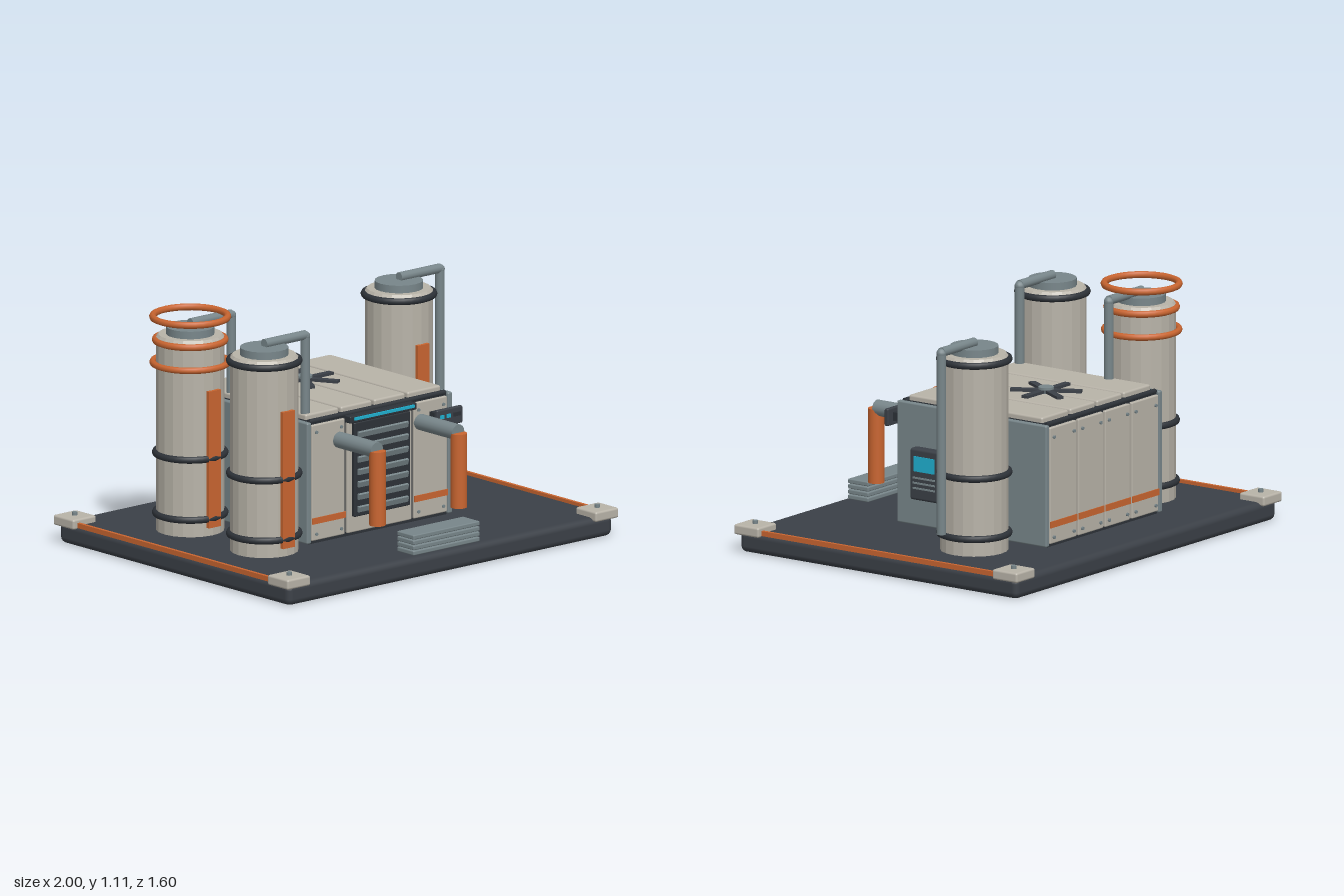
import * as THREE from 'three';
import { RoundedBoxGeometry } from 'three/addons/geometries/RoundedBoxGeometry.js';

const material = (name, color) => {
  const m = new THREE.MeshStandardMaterial({ color });
  m.name = name;
  return m;
};

export function createModel() {
  const model = new THREE.Group();
  model.name = 'processingUnit';
  const cream = material('cream panel', 0xb8b3a8);
  const grey = material('blue grey metal', 0x78868a);
  const slate = material('slate deck', 0x3b4047);
  const black = material('dark trim', 0x2d3238);
  const orange = material('orange', 0xc96530);
  const cyan = material('cyan light', 0x20b0d0);

  const add = (parent, name, geometry, mat, x, y, z) => {
    const mesh = new THREE.Mesh(geometry, mat);
    mesh.name = name;
    mesh.position.set(x, y, z);
    parent.add(mesh);
    return mesh;
  };
  // Box given by its minimum and maximum along each axis, with an optional round edge
  const box = (parent, name, mat, [x0, x1], [y0, y1], [z0, z1], r = 0) => {
    const s = [x1 - x0, y1 - y0, z1 - z0];
    const g = r ? new RoundedBoxGeometry(...s, 2, r) : new THREE.BoxGeometry(...s);
    return add(parent, name, g, mat, (x0 + x1) / 2, (y0 + y1) / 2, (z0 + z1) / 2);
  };
  // Straight round bar between two points
  const rod = (parent, name, mat, a, b, r, sides = 16) => {
    const p = new THREE.Vector3(...a), q = new THREE.Vector3(...b);
    const mid = p.clone().add(q).multiplyScalar(0.5);
    const m = add(parent, name, new THREE.CylinderGeometry(r, r, p.distanceTo(q), sides), mat, mid.x, mid.y, mid.z);
    m.quaternion.setFromUnitVectors(new THREE.Vector3(0, 1, 0), q.sub(p).normalize());
    return m;
  };
  const ring = (parent, name, mat, y, radius, tube) => {
    add(parent, name, new THREE.TorusGeometry(radius, tube, 8, 32), mat, 0, y, 0).rotation.x = Math.PI / 2;
  };

  // Base slab, side trims and corner feet
  box(model, 'baseSlab', slate, [-0.98, 0.98], [0, 0.1], [-0.785, 0.785], 0.03);
  for (const sx of [-1, 1]) {
    box(model, 'sideTrim', orange, [sx * 0.968 - 0.008, sx * 0.968 + 0.008], [0.09, 0.113], [-0.68, 0.68]);
    for (const sz of [-1, 1]) {
      const x = sx * 0.93, z = sz * 0.73;
      box(model, 'cornerBlock', cream, [x - 0.07, x + 0.07], [0.083, 0.13], [z - 0.07, z + 0.07], 0.01);
      rod(model, 'cornerBolt', grey, [x, 0.13, z], [x, 0.145, z], 0.013, 10);
    }
  }

  // Housing core with side plates
  const housing = new THREE.Group();
  housing.name = 'housing';
  model.add(housing);
  box(housing, 'core', black, [-0.415, 0.415], [0.1, 0.672], [-0.53, 0.285]);
  for (const s of [-1, 1])
    box(housing, 'sidePlate', grey, [s * 0.425 - 0.014, s * 0.425 + 0.014], [0.105, 0.67], [-0.545, 0.3], 0.008);

  // Roof and back panels in four columns, front panels in the outer columns
  const columns = [[-0.408, -0.208], [-0.194, -0.007], [0.007, 0.194], [0.208, 0.408]];
  columns.forEach(([x0, x1], i) => {
    box(housing, 'roofPanel', cream, [x0, x1], [0.66, 0.697], [-0.5, 0.255], 0.01);
    box(housing, 'backPanel', cream, [x0, x1], [0.115, 0.655], [-0.545, -0.52], 0.006);
    box(housing, 'backStripe', orange, [x0, x1], [0.19, 0.22], [-0.549, -0.544]);
    for (const y of [0.145, 0.61])
      for (const x of [x0 + 0.025, x1 - 0.025])
        rod(housing, 'backRivet', grey, [x, y, -0.543], [x, y, -0.553], 0.008, 8);
    if (i === 0 || i === 3) {
      box(housing, 'frontPanel', cream, [x0, x1], [0.115, 0.655], [0.275, 0.298], 0.006);
      box(housing, 'frontStripe', orange, [x0, x1], [0.193, 0.222], [0.296, 0.302]);
      for (const y of [0.145, 0.62])
        for (const x of [x0 + 0.025, x1 - 0.025])
          rod(housing, 'frontRivet', grey, [x, y, 0.295], [x, y, 0.304], 0.008, 8);
    } else {
      box(housing, 'frontPanel', cream, [x0, x1], [0.115, 0.64], [0.275, 0.298], 0.006);
    }
  });
  for (const z of [-0.52, 0.275])
    rod(housing, 'roofEdge', black, [-0.41, 0.667, z], [0.41, 0.667, z], 0.013, 8);

  // Louvred intake with a light bar above it
  box(housing, 'louvreFrame', black, [-0.168, 0.168], [0.19, 0.63], [0.295, 0.317], 0.006);
  for (let i = 0; i < 7; i++) {
    const y = 0.225 + i * 0.058;
    box(housing, 'louvreSlat', grey, [-0.15, 0.15], [y - 0.013, y + 0.013], [0.31, 0.326]).rotation.x = 0.3;
  }
  box(housing, 'lightBarHousing', black, [-0.2, 0.2], [0.632, 0.665], [0.28, 0.325], 0.005);
  box(housing, 'lightBar', cyan, [-0.18, 0.18], [0.646, 0.659], [0.315, 0.334]);

  // Control strip at the upper front corner
  box(housing, 'controlStrip', slate, [0.28, 0.436], [0.54, 0.62], [0.35, 0.372], 0.006);
  box(housing, 'controlBracket', black, [0.3, 0.4], [0.56, 0.6], [0.29, 0.352]);
  for (const x of [0.31, 0.35])
    box(housing, 'indicator', cyan, [x - 0.012, x + 0.012], [0.578, 0.596], [0.37, 0.376]);
  box(housing, 'indicatorOff', black, [0.38, 0.42], [0.578, 0.596], [0.37, 0.376]);

  // Roof fan with six blades
  const fan = new THREE.Group();
  fan.name = 'roofFan';
  fan.position.set(0, 0, -0.215);
  housing.add(fan);
  for (let i = 0; i < 3; i++)
    box(fan, 'fanBlades', slate, [-0.163, 0.163], [0.7, 0.713], [-0.016, 0.016]).rotation.y = i * Math.PI / 3;
  rod(fan, 'fanHub', grey, [0, 0.69, 0], [0, 0.724, 0], 0.036, 16);

  // Front outlets: a pipe out of the housing and a drop pipe
  for (const x of [-0.245, 0.245]) {
    rod(model, 'outletPipe', grey, [x, 0.562, 0.28], [x, 0.562, 0.556], 0.037);
    rod(model, 'dropPipe', orange, [x, 0.215, 0.56], [x, 0.56, 0.56], 0.038);
  }

  // Terminal on the left side plate
  box(model, 'terminal', slate, [0.435, 0.488], [0.235, 0.475], [0.02, 0.19], 0.012);
  box(model, 'terminalScreen', cyan, [0.486, 0.492], [0.37, 0.44], [0.05, 0.165]);
  for (const y of [0.292, 0.316, 0.34])
    box(model, 'terminalKeys', grey, [0.486, 0.492], [y - 0.004, y + 0.004], [0.045, 0.17]);

  // Front step of stacked slabs
  for (let i = 0; i < 4; i++)
    box(model, 'stepSlab', grey, [-0.2, 0.2], [0.1 + i * 0.0245, 0.121 + i * 0.0245], [0.64, 0.755], 0.005);

  // Tanks, each with bands, a cap, a stripe and a down pipe towards +x
  const body = new THREE.LatheGeometry([[0, 0.1], [0.155, 0.1], [0.155, 1.0], [0.145, 1.012], [0, 1.012]]
    .map(([r, y]) => new THREE.Vector2(r, y)), 20).toNonIndexed();
  body.computeVertexNormals();
  for (const [x, z, coiled] of [[-0.63, 0.222, false], [-0.63, -0.282, true], [0.63, -0.282, false]]) {
    const tank = new THREE.Group();
    tank.name = 'tank';
    tank.position.set(x, 0, z);
    model.add(tank);
    add(tank, 'tankBody', body, cream, 0, 0, 0);
    rod(tank, 'tankCap', grey, [0, 1.005, 0], [0, 1.047, 0], 0.11, 20);
    for (const y of [0.18, 0.46, 0.985])
      if (!(coiled && y > 0.9)) ring(tank, 'tankBand', black, y, 0.158, 0.016);
    box(tank, 'tankStripe', orange, [-0.035, 0.035], [0.14, 0.777], [0.151, 0.169]);
    rod(tank, 'topPipe', grey, [0, 1.06, 0], [0.247, 1.06, 0], 0.022, 12);
    add(tank, 'pipeElbow', new THREE.SphereGeometry(0.023, 12, 8), grey, 0.247, 1.055, 0);
    rod(tank, 'downPipe', grey, [0.247, 0.215, 0], [0.247, 1.055, 0], 0.022, 12);
    if (coiled) {
      ring(tank, 'coilRing', orange, 0.88, 0.17, 0.015);
      ring(tank, 'coilRing', orange, 0.985, 0.158, 0.016);
      ring(tank, 'coilRing', orange, 1.092, 0.17, 0.016);
    }
  }
  return model;
}
